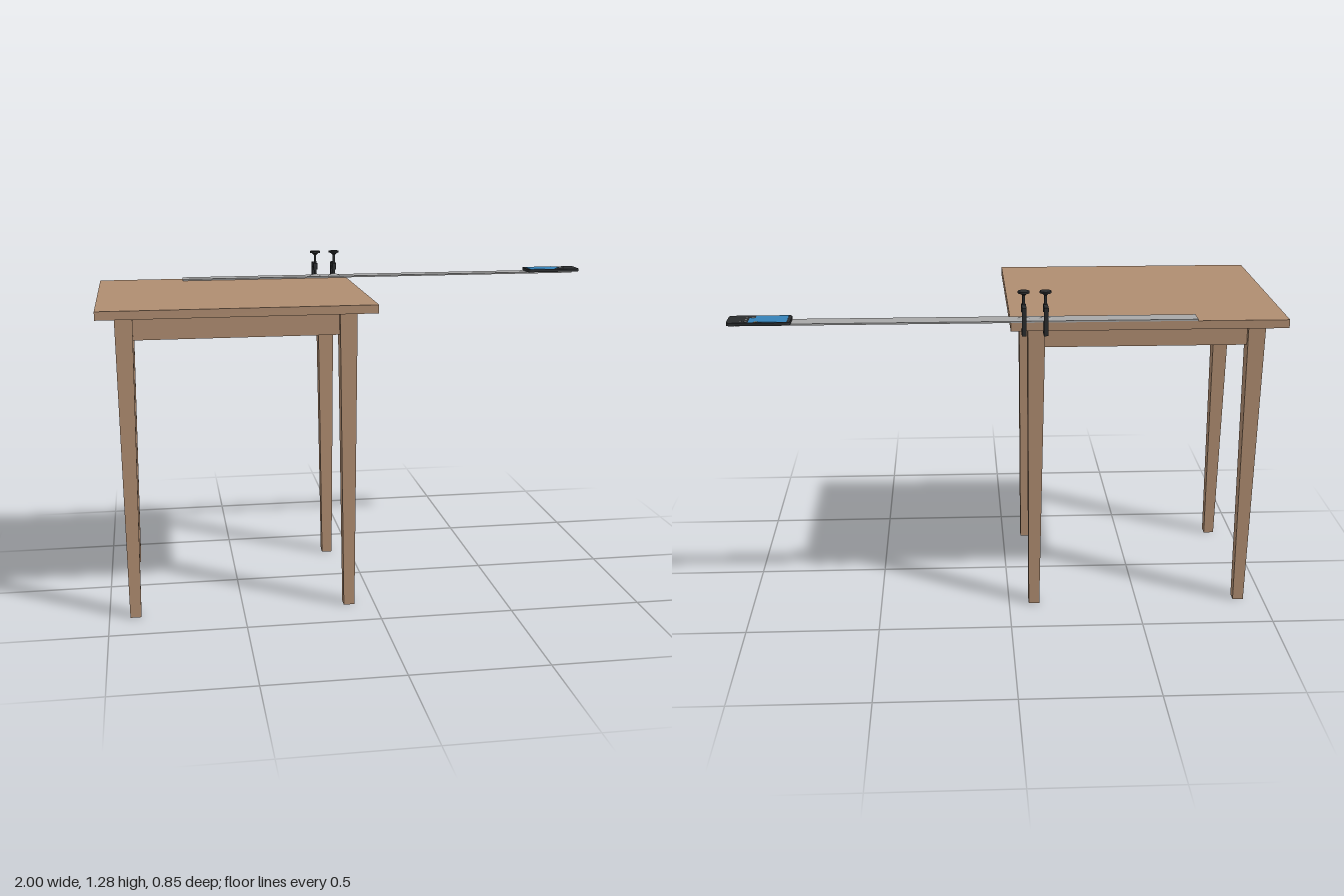
import * as THREE from 'three';

const mat = (name, color, extra = {}) => {
  const m = new THREE.MeshStandardMaterial({ color, ...extra });
  m.name = name;
  return m;
};

export function createModel() {
  const wood = mat('wood', 0xb08d71, { flatShading: true });
  const steel = mat('steel', 0xa8a8a8);
  const black = mat('black', 0x2a2c2e);
  const blue = mat('screen blue', 0x3582b8);
  const orange = mat('icon orange', 0xc08a50);

  const root = new THREE.Group();
  root.name = 'tableWithRulerAndPhone';

  const add = (parent, name, geo, material, x = 0, y = 0, z = 0) => {
    const m = new THREE.Mesh(geo, material);
    m.name = name;
    m.position.set(x, y, z);
    parent.add(m);
    return m;
  };
  // box given by its lower and upper limits on each axis
  const box = (parent, name, material, x0, x1, y0, y1, z0, z1) =>
    add(parent, name, new THREE.BoxGeometry(x1 - x0, y1 - y0, z1 - z0), material,
      (x0 + x1) / 2, (y0 + y1) / 2, (z0 + z1) / 2);

  // table
  const table = new THREE.Group();
  table.name = 'table';
  table.position.set(-0.5, 0, 0.011);
  root.add(table);
  box(table, 'tableTop', wood, -0.5, 0.5, 1.137, 1.168, -0.416, 0.416);

  const legX = 0.403, legZ = 0.307, legTop = 0.064, legFoot = 0.041;
  const legGeo = new THREE.CylinderGeometry(legTop * Math.SQRT1_2, legFoot * Math.SQRT1_2, 1.137, 4);
  legGeo.rotateY(Math.PI / 4);

  // corner bracket: concave web under the top, with a diagonal wall and two flanges
  const s = 0.12;
  const webShape = new THREE.Shape();
  webShape.moveTo(0, 0);
  webShape.lineTo(s, 0);
  webShape.quadraticCurveTo(s * 0.42, s * 0.42, 0, s);
  webShape.closePath();
  const webGeo = new THREE.ExtrudeGeometry(webShape, { depth: 0.008, bevelEnabled: false, curveSegments: 8 });
  webGeo.rotateX(Math.PI / 2);

  for (const sx of [-1, 1]) for (const sz of [-1, 1]) {
    add(table, 'leg', legGeo, wood, sx * legX, 1.137 / 2, sz * legZ);
    const bracket = new THREE.Group();
    bracket.name = 'cornerBracket';
    bracket.position.set(sx * (legX - 0.013), 1.136, sz * (legZ - 0.013));
    // the bracket opens along local +x and +z towards the table centre
    bracket.rotation.y = sx < 0 ? (sz < 0 ? 0 : Math.PI / 2) : (sz < 0 ? -Math.PI / 2 : Math.PI);
    table.add(bracket);
    add(bracket, 'bracketWeb', webGeo, black);
    const wall = add(bracket, 'bracketWall', new THREE.BoxGeometry(0.075, 0.055, 0.008), black, 0.04, -0.03, 0.04);
    wall.rotation.y = Math.PI / 4;
    box(bracket, 'bracketFlange', black, 0.06, s, -0.055, 0, 0, 0.006);
    box(bracket, 'bracketFlange', black, 0, 0.006, -0.055, 0, 0.06, s);
  }

  // aprons between the legs
  const t = 0.012;
  for (const side of [-1, 1]) {
    box(table, 'longApron', wood, -legX + 0.03, legX - 0.03, 1.047, 1.137, side * legZ - t, side * legZ + t);
    box(table, 'shortApron', wood, side * legX - t, side * legX + t, 1.047, 1.137, -legZ + 0.03, legZ - 0.03);
  }

  // ruler along the back edge
  box(root, 'ruler', steel, -0.67, 0.97, 1.168, 1.174, -0.405, -0.34);

  // clamps
  const cyl = (r0, r1, h, n = 16) => new THREE.CylinderGeometry(r0, r1, h, n);
  for (const x of [-0.125, -0.047]) {
    const clamp = new THREE.Group();
    clamp.name = 'clamp';
    clamp.position.x = x;
    root.add(clamp);
    const w = 0.008;
    box(clamp, 'clampSpine', black, -w, w, 1.123, 1.226, -0.423, -0.405);
    box(clamp, 'clampUpperArm', black, -w, w, 1.21, 1.226, -0.406, -0.36);
    box(clamp, 'clampLowerJaw', black, -w, w, 1.123, 1.137, -0.406, -0.385);
    add(clamp, 'clampScrew', cyl(0.005, 0.005, 0.09), black, 0, 1.223, -0.372);
    add(clamp, 'clampNut', cyl(0.009, 0.009, 0.012), black, 0, 1.205, -0.372);
    add(clamp, 'clampKnob', cyl(0.021, 0.021, 0.007, 20), black, 0, 1.272, -0.372);
    add(clamp, 'clampKnobNeck', cyl(0.014, 0.006, 0.008), black, 0, 1.264, -0.372);
    add(clamp, 'clampFoot', cyl(0.008, 0.024, 0.007, 20), steel, 0, 1.1775, -0.372);
  }

  // phone at the far end of the ruler
  const phone = new THREE.Group();
  phone.name = 'phone';
  phone.position.set(0.888, 1.174, -0.377);
  root.add(phone);
  const slab = (l, w, r, h) => {
    const a = l / 2, b = w / 2, p = new THREE.Shape();
    p.moveTo(-a + r, -b);
    p.lineTo(a - r, -b);
    p.quadraticCurveTo(a, -b, a, -b + r);
    p.lineTo(a, b - r);
    p.quadraticCurveTo(a, b, a - r, b);
    p.lineTo(-a + r, b);
    p.quadraticCurveTo(-a, b, -a, b - r);
    p.lineTo(-a, -b + r);
    p.quadraticCurveTo(-a, -b, -a + r, -b);
    const g = new THREE.ExtrudeGeometry(p, { depth: h, bevelEnabled: false, curveSegments: 6 });
    return g.rotateX(-Math.PI / 2);
  };
  add(phone, 'phoneBody', slab(0.224, 0.096, 0.015, 0.011), black);
  const y = 0.0105;
  box(phone, 'screen', blue, -0.1, 0.015, y, y + 0.0015, -0.042, 0.042);
  box(phone, 'screenStep', blue, 0.015, 0.035, y, y + 0.0015, -0.042, 0.012);
  // small icons beside the blue area
  for (const [x, z, w, m] of [[0.025, 0.022, 0.012, steel], [0.045, -0.025, 0.01, steel],
    [0.045, -0.005, 0.01, steel], [0.045, 0.018, 0.01, steel], [0.062, -0.03, 0.006, steel],
    [0.008, -0.038, 0.012, orange]])
    box(phone, 'screenIcon', m, x - w / 2, x + w / 2, y, y + 0.002, z - 0.006, z + 0.006);

  return root;
}
